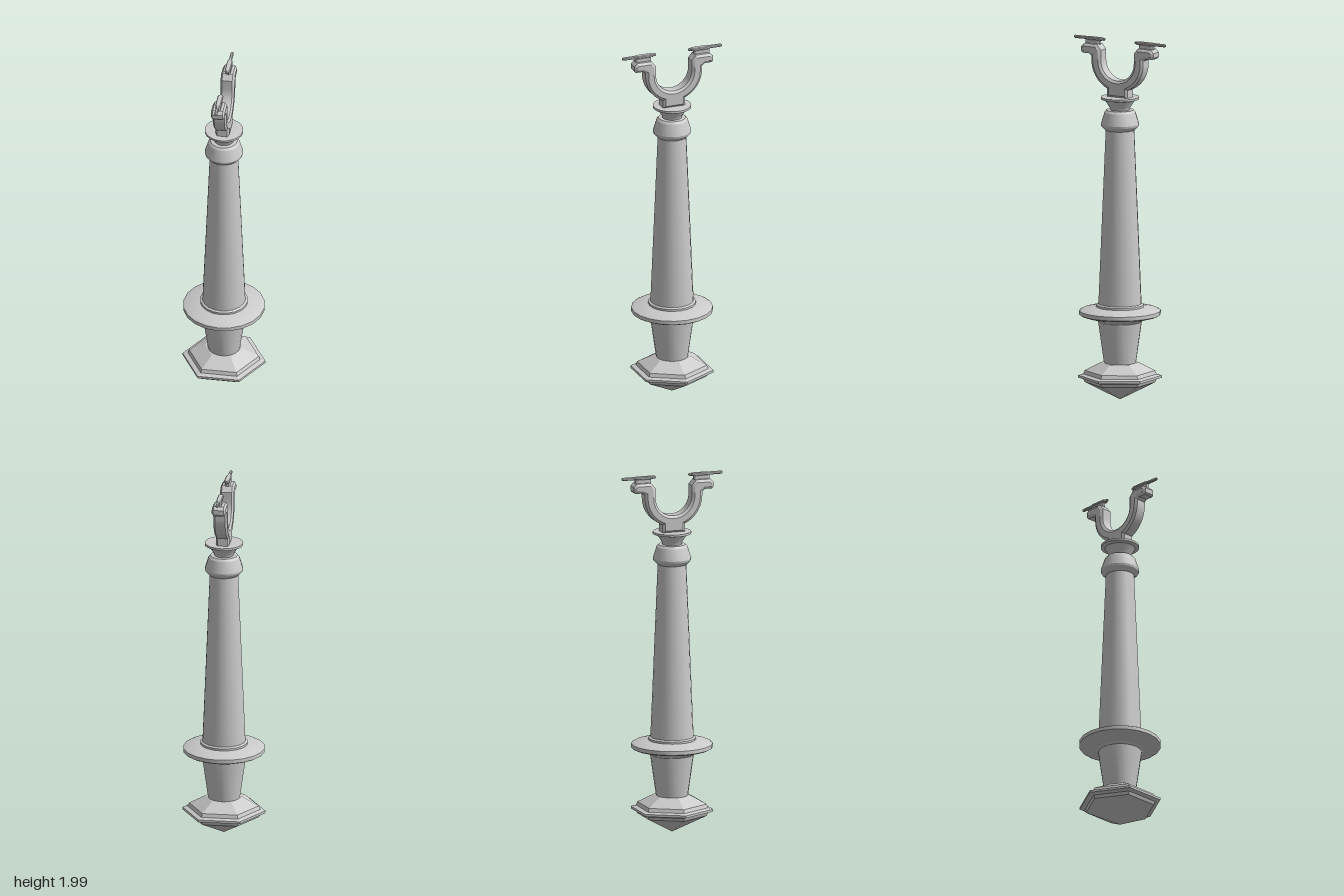
import * as THREE from 'three';
import { toCreasedNormals } from 'three/addons/utils/BufferGeometryUtils.js';

const material = new THREE.MeshStandardMaterial({ color: 0xcccccc });
const faceted = new THREE.MeshStandardMaterial({ color: 0xcccccc, flatShading: true });

// Turned part from [radius, height] pairs, listed bottom to top
function turned(name, profile, sides, phi = 0, flat = false) {
  const points = profile.map(([r, y]) => new THREE.Vector2(r, y));
  const lathe = new THREE.LatheGeometry(points, sides, phi);
  const mesh = new THREE.Mesh(flat ? lathe : toCreasedNormals(lathe, 0.4), flat ? faceted : material);
  mesh.name = name;
  return mesh;
}

// Bevelled slab whose widest outline is the shape itself, centred on its thickness
function slab(shape, core, bevelThickness, bevelSize) {
  const geo = new THREE.ExtrudeGeometry(shape, {
    depth: core, bevelEnabled: true, bevelSegments: 1, bevelThickness,
    bevelSize, bevelOffset: -bevelSize, curveSegments: 10,
  });
  geo.translate(0, 0, -core / 2);
  return geo;
}

// U-shaped fork outline: x runs along the model's z
function forkShape() {
  const cy = 1.88, outer = 0.165, inner = 0.105;
  const a = Math.acos(0.065 / outer);
  const s = new THREE.Shape();
  s.moveTo(-0.065, 1.68);
  s.lineTo(0.065, 1.68);
  s.absarc(0, cy, outer, -a, 0, false);
  const end = [[0.165, 1.9], [0.18, 1.912], [0.222, 1.912], [0.23, 1.922],
    [0.23, 1.948], [0.213, 1.965], [0.13, 1.965], [0.105, 1.935]];
  end.forEach(([z, y]) => s.lineTo(z, y));
  s.absarc(0, cy, inner, 0, -Math.PI, true);
  end.reverse().forEach(([z, y]) => s.lineTo(-z, y));
  s.absarc(0, cy, outer, Math.PI, Math.PI + a, false);
  return s;
}

// Mirrored outline from [half width, length] pairs
function mirroredShape(half) {
  const left = half.map(([x, z]) => [-x, z]).reverse();
  return new THREE.Shape([...half, ...left].map(([x, z]) => new THREE.Vector2(x, z)));
}

export function createModel() {
  const model = new THREE.Group();
  model.name = 'handle';

  // Six-sided pointed pommel with a stepped rim
  model.add(turned('pommel', [
    [0, 0.01], [0.192, 0.105], [0.2, 0.122], [0.228, 0.13], [0.228, 0.143],
    [0.2, 0.15], [0.192, 0.17], [0.105, 0.215], [0, 0.215],
  ], 6, Math.PI / 6, true));

  // Lower grip
  model.add(turned('lowerGrip', [[0.087, 0.21], [0.12, 0.445]], 20));

  // Disc guard
  model.add(turned('guard', [
    [0.118, 0.44], [0.13, 0.453], [0.21, 0.475], [0.223, 0.482], [0.223, 0.503],
    [0.21, 0.51], [0.13, 0.524], [0.13, 0.535], [0.117, 0.542],
  ], 20));

  // Long tapered grip
  model.add(turned('upperGrip', [[0.118, 0.54], [0.078, 1.505]], 20));

  // Collar, narrow neck and top disc
  model.add(turned('collar', [
    [0.076, 1.5], [0.083, 1.503], [0.102, 1.523], [0.105, 1.535],
    [0.085, 1.6], [0.074, 1.612], [0, 1.614],
  ], 20));
  model.add(turned('neck', [
    [0.052, 1.61], [0.056, 1.625], [0.083, 1.667], [0.105, 1.672],
    [0.105, 1.684], [0, 1.685],
  ], 20));

  // Fork
  const forkGeo = slab(forkShape(), 0.056, 0.01, 0.014);
  forkGeo.rotateY(-Math.PI / 2);
  const fork = new THREE.Mesh(toCreasedNormals(forkGeo, 0.4), material);
  fork.name = 'fork';
  model.add(fork);

  // Pointed blade plates on pedestals, one on each fork end
  const plateShape = mirroredShape([[0.004, 0.095], [0.006, 0.107], [0.015, 0.115],
    [0.015, 0.2], [0.008, 0.225], [0.008, 0.28], [0.004, 0.291]]);
  const plateGeo = slab(plateShape, 0.008, 0.004, 0.004);
  plateGeo.rotateX(Math.PI / 2);
  plateGeo.translate(0, 1.992, 0);
  const footGeo = slab(mirroredShape([[0.008, 0.125], [0.013, 0.135], [0.013, 0.205], [0.008, 0.215]]),
    0.02, 0.003, 0.003);
  footGeo.rotateX(Math.PI / 2);
  footGeo.translate(0, 1.974, 0);
  [0, Math.PI].forEach((turn, i) => {
    const tip = new THREE.Group();
    tip.name = i ? 'backTip' : 'frontTip';
    const plate = new THREE.Mesh(plateGeo, faceted);
    plate.name = 'plate';
    const foot = new THREE.Mesh(footGeo, faceted);
    foot.name = 'pedestal';
    tip.add(plate, foot);
    tip.rotation.y = turn;
    model.add(tip);
  });
  return model;
}
